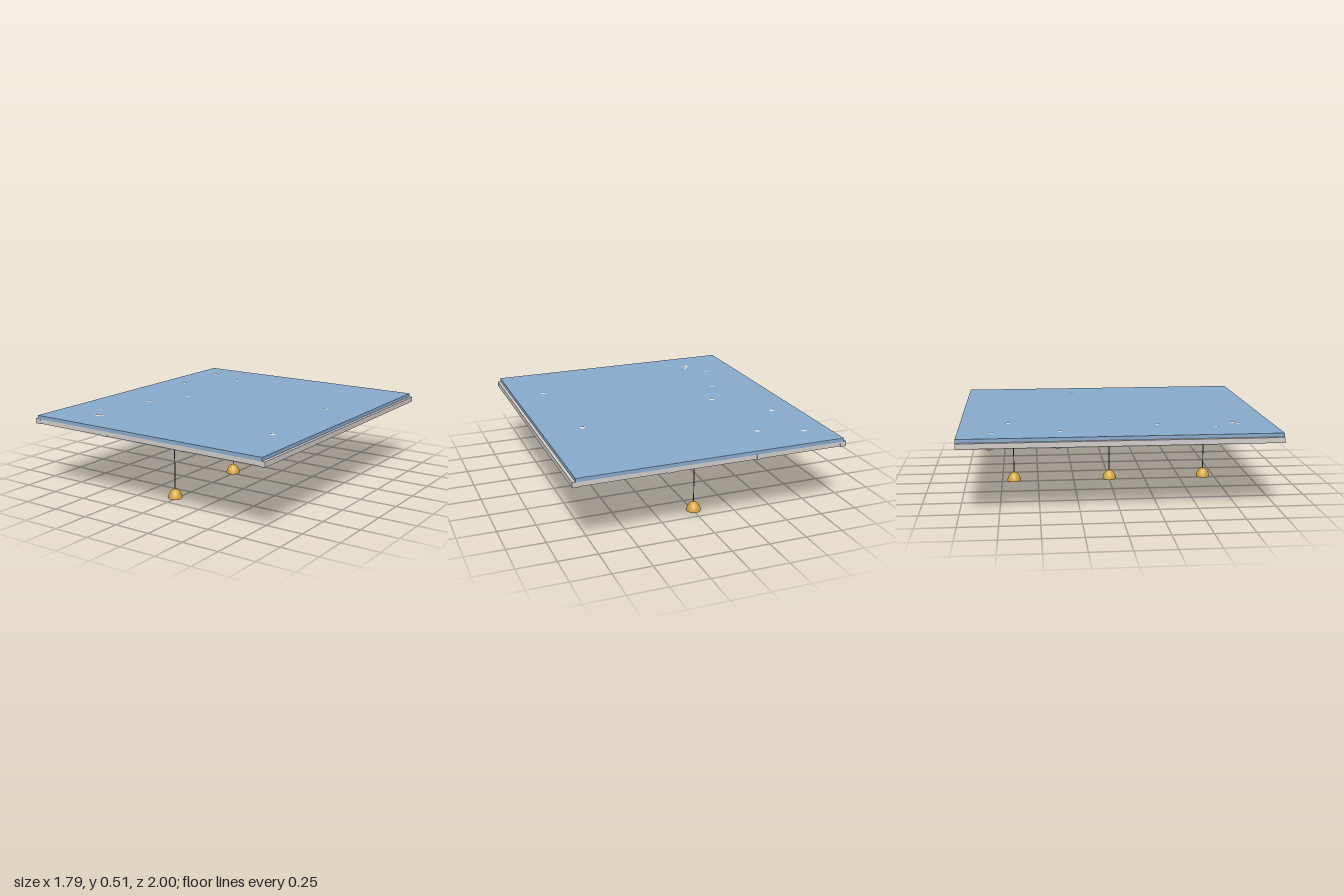
import * as THREE from 'three';

const mat = (name, color, extra = {}) => {
  const m = new THREE.MeshStandardMaterial({ color, ...extra });
  m.name = name;
  return m;
};

export function createModel() {
  const root = new THREE.Group();
  root.name = 'skyCeiling';
  const sky = mat('skyBlue', 0x88aacc);
  const beam = mat('beamGrey', 0xcfcbc8);
  const white = mat('cloudWhite', 0xdedede);
  const gold = mat('lampGold', 0xd4a53a, { side: THREE.DoubleSide });
  const dark = mat('cordDark', 0x444450);
  const glow = mat('bulbCream', 0xf4ead0);

  const add = (parent, name, geo, material, x, y, z) => {
    const m = new THREE.Mesh(geo, material);
    m.name = name;
    m.position.set(x, y, z);
    parent.add(m);
    return m;
  };

  // Sky panel
  add(root, 'skyPanel', new THREE.BoxGeometry(1.75, 0.024, 2), sky, 0, 0.493, 0);

  // Beam lattice: long beams along z, thinner cross beams along x
  for (const x of [-0.875, -0.292, 0.292, 0.875])
    add(root, 'longBeam', new THREE.BoxGeometry(0.04, 0.034, 2), beam, x, 0.465, 0);
  for (const z of [-0.982, -0.333, 0.333, 0.982])
    add(root, 'crossBeam', new THREE.BoxGeometry(1.74, 0.03, 0.03), beam, 0, 0.465, z);

  // Clouds: [x, z] of each cluster; puffs: [dx, y, dz, radius]
  const clouds = [[-0.71, -0.79], [-0.43, -0.69], [-0.70, -0.37], [0.60, -0.23], [-0.41, -0.02],
    [-0.54, 0.26], [0.66, 0.54], [-0.65, 0.62], [-0.53, 0.75], [-0.55, 0.78]];
  const puffs = [[0.003, 0.442, -0.015, 0.046], [0.005, 0.455, 0.04, 0.034],
    [0, 0.455, -0.072, 0.033], [0, 0.474, 0, 0.036]];
  for (const [cx, cz] of clouds) {
    const cloud = new THREE.Group();
    cloud.name = 'cloud';
    cloud.position.set(cx, 0, cz);
    for (const [dx, y, dz, r] of puffs)
      add(cloud, 'cloudPuff', new THREE.SphereGeometry(r, 16, 12), white, dx, y, dz);
    root.add(cloud);
  }

  // Pendant lamps
  const profile = [[0.047, 0.007], [0.045, 0.022], [0.039, 0.038], [0.029, 0.053], [0.016, 0.064], [0, 0.069]]
    .map(([x, y]) => new THREE.Vector2(x, y));
  for (const z of [-0.667, 0, 0.667]) {
    const lamp = new THREE.Group();
    lamp.name = 'pendantLamp';
    lamp.position.z = z;
    add(lamp, 'lampShade', new THREE.LatheGeometry(profile, 24), gold, 0, 0, 0);
    add(lamp, 'bulb', new THREE.SphereGeometry(0.018, 16, 12), glow, 0, 0.018, 0);
    add(lamp, 'cord', new THREE.CylinderGeometry(0.003, 0.003, 0.415, 8), dark, 0, 0.275, 0);
    add(lamp, 'ceilingRose', new THREE.CylinderGeometry(0.015, 0.015, 0.014, 16), dark, 0, 0.475, 0);
    root.add(lamp);
  }
  return root;
}
